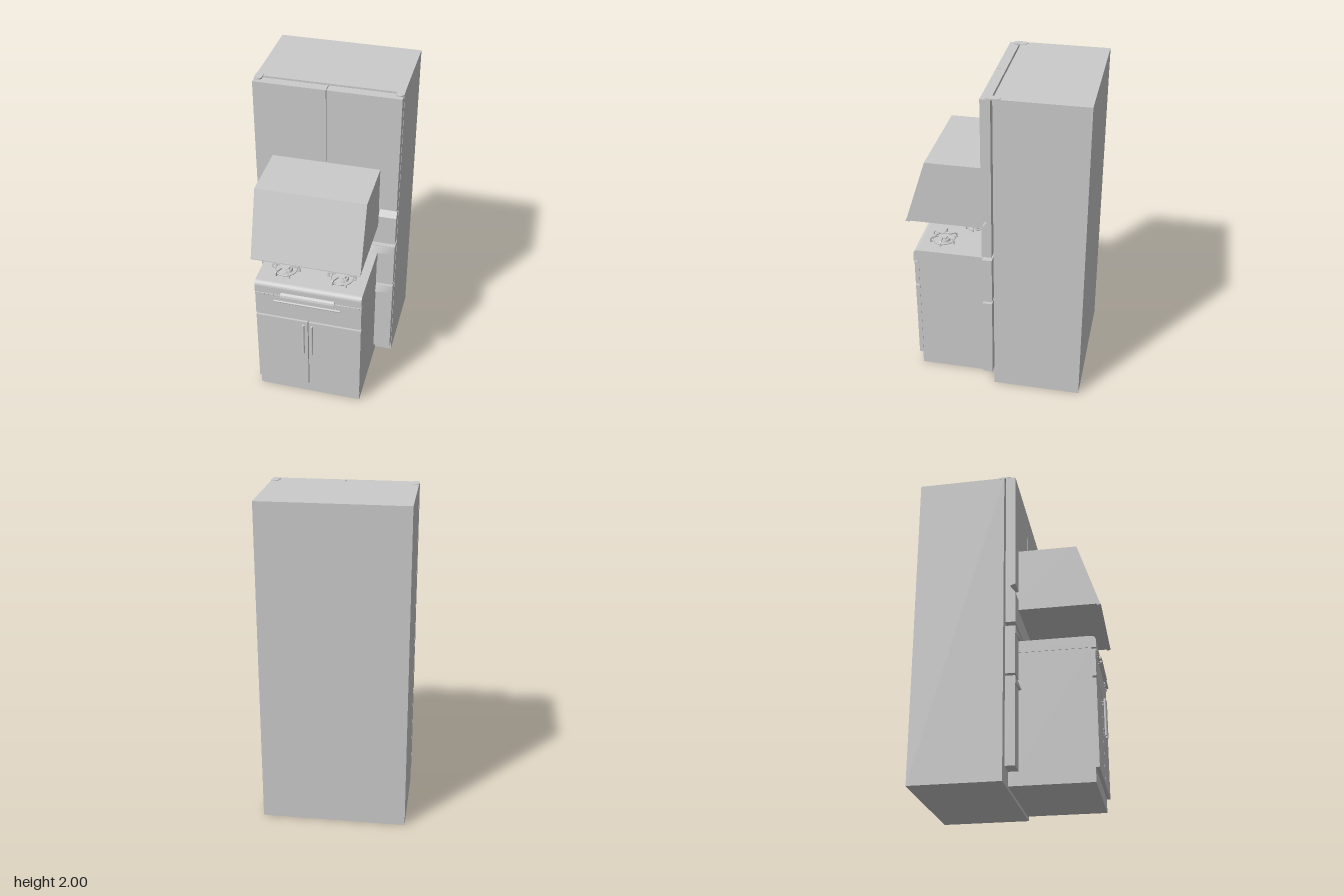
import * as THREE from 'three';

const grey = new THREE.MeshStandardMaterial({ color: 0xcccccc });

function add(parent, name, geometry, x = 0, y = 0, z = 0) {
  const mesh = new THREE.Mesh(geometry, grey);
  mesh.name = name;
  mesh.position.set(x, y, z);
  parent.add(mesh);
  return mesh;
}

// Box given by its limits on each axis
function box(parent, name, [x0, x1], [y0, y1], [z0, z1]) {
  return add(parent, name, new THREE.BoxGeometry(x1 - x0, y1 - y0, z1 - z0),
    (x0 + x1) / 2, (y0 + y1) / 2, (z0 + z1) / 2);
}

// Side profile of [z, y] points, extruded from x0 to x1
function profile(parent, name, points, x0, x1) {
  const shape = new THREE.Shape(points.map(p => new THREE.Vector2(...p)));
  const geometry = new THREE.ExtrudeGeometry(shape, { depth: x1 - x0, bevelEnabled: false });
  geometry.rotateY(-Math.PI / 2);
  return add(parent, name, geometry, x1);
}

// Sloped grip that bows out towards the middle of a drawer
function bowedGrip(parent, y0, y1) {
  const geometry = new THREE.BoxGeometry(0.88, y1 - y0, 0.03, 24, 1, 1);
  const p = geometry.attributes.position;
  for (let i = 0; i < p.count; i++) {
    const bow = 0.04 * (1 - (p.getX(i) / 0.44) ** 2);
    const front = p.getZ(i) > 0;
    p.setZ(i, !front ? 0.04 : p.getY(i) < 0 ? 0.061 + bow : 0.061);
  }
  geometry.computeVertexNormals();
  add(parent, 'drawerGrip', geometry, 0, (y0 + y1) / 2, 0);
}

function createFridge() {
  const fridge = new THREE.Group();
  fridge.name = 'fridge';
  box(fridge, 'fridgeBody', [-0.44, 0.44], [0, 2], [-0.56, -0.012]);

  // Upper doors with a V-shaped finger groove
  const door = [[0, 0.97], [0.06, 0.97], [0.06, 1.168], [0.027, 1.213],
    [0.06, 1.226], [0.06, 1.995], [0, 1.995]];
  profile(fridge, 'upperDoor', door, -0.44, -0.002);
  profile(fridge, 'upperDoor', door, 0.002, 0.44);

  // Drawers
  for (const [y0, y1] of [[0.64, 0.945], [0.085, 0.625]]) {
    box(fridge, 'drawerFront', [-0.44, 0.44], [y0, y1], [0, 0.06]);
    bowedGrip(fridge, y1 - 0.05, y1 - 0.003);
  }

  // Rounded hinge covers on the top corners
  const cover = new THREE.Shape();
  cover.absarc(0, 0.022, 0.023, 0, Math.PI);
  cover.absarc(0, -0.022, 0.023, Math.PI, Math.PI * 2);
  const coverGeometry = new THREE.ExtrudeGeometry(cover, { depth: 0.01, bevelEnabled: false });
  coverGeometry.rotateX(-Math.PI / 2);
  for (const s of [-1, 1]) add(fridge, 'hingeCover', coverGeometry, s * 0.419, 1.993, -0.01);
  return fridge;
}

function createBurner(radius) {
  const burner = new THREE.Group();
  burner.name = 'burner';
  const ring = new THREE.TorusGeometry(radius * 0.75, 0.005, 8, 32).rotateX(Math.PI / 2);
  add(burner, 'panRing', ring, 0, 0.006);
  add(burner, 'burnerBase', new THREE.CylinderGeometry(radius * 0.42, radius * 0.48, 0.014, 24), 0, 0.007);
  add(burner, 'burnerCap', new THREE.CylinderGeometry(radius * 0.26, radius * 0.3, 0.01, 24), 0, 0.018);

  // Bent support prongs
  const prong = new THREE.Shape([[0.72, 0], [1, 0], [1, 0.024], [0.88, 0.036], [0.4, 0.036],
    [0.4, 0.027], [0.82, 0.027], [0.9, 0.018], [0.9, 0.007], [0.72, 0.007]]
    .map(([r, y]) => new THREE.Vector2(r * radius, y)));
  const prongGeometry = new THREE.ExtrudeGeometry(prong, { depth: 0.007, bevelEnabled: false });
  prongGeometry.translate(0, 0, -0.0035);
  for (let i = 0; i < 6; i++) {
    add(burner, 'prong', prongGeometry).rotation.y = (i * Math.PI) / 3;
  }
  return burner;
}

// Round bar on two short posts
function createBarHandle(length, radius) {
  const handle = new THREE.Group();
  handle.name = 'barHandle';
  add(handle, 'bar', new THREE.CylinderGeometry(radius, radius, length, 16));
  const post = new THREE.CylinderGeometry(0.003, 0.003, 0.022, 8).rotateX(Math.PI / 2);
  for (const s of [-1, 1]) add(handle, 'post', post, 0, s * length * 0.42, -0.011);
  return handle;
}

function createStove() {
  const stove = new THREE.Group();
  stove.name = 'stove';
  box(stove, 'cabinet', [-0.33, 0.33], [0, 0.82], [0, 0.495]);

  // Worktop with a rounded front edge
  const top = [[0, 0.815], [0.522, 0.815], [0.522, 0.862]];
  for (let i = 1; i <= 6; i++) {
    const a = (i / 6) * Math.PI / 2;
    top.push([0.494 + 0.028 * Math.cos(a), 0.862 + 0.028 * Math.sin(a)]);
  }
  top.push([0, 0.89]);
  profile(stove, 'worktop', top, -0.333, 0.333);

  // Front panels
  box(stove, 'ovenFront', [-0.333, 0.333], [0.635, 0.805], [0.49, 0.517]);
  for (const s of [-1, 1]) {
    const [a, b] = [s * 0.003, s * 0.333].sort((m, n) => m - n);
    box(stove, 'cabinetDoor', [a, b], [0.085, 0.622], [0.49, 0.517]);
    const handle = createBarHandle(0.235, 0.008);
    handle.position.set(s * 0.027, 0.492, 0.536);
    stove.add(handle);
    for (let i = 0; i < 5; i++) {
      const x = s * (0.2 + i * 0.028);
      box(stove, 'button', [x - 0.011, x + 0.011], [0.797, 0.81], [0.51, 0.524]);
    }
  }
  const ovenHandle = createBarHandle(0.42, 0.007);
  ovenHandle.rotation.z = Math.PI / 2;
  ovenHandle.position.set(0, 0.775, 0.536);
  stove.add(ovenHandle);
  profile(stove, 'frontLip', [[0.515, 0.813], [0.54, 0.813], [0.536, 0.826], [0.515, 0.838]], -0.168, 0.168);

  // Two large burners in front, a small one behind
  for (const [x, z, r] of [[-0.177, 0.365, 0.09], [0.177, 0.365, 0.09], [0, 0.203, 0.063]]) {
    const burner = createBurner(r);
    burner.position.set(x, 0.89, z);
    stove.add(burner);
  }
  return stove;
}

function createFaucet() {
  const faucet = new THREE.Group();
  faucet.name = 'faucet';
  // Arched spout set diagonally over the worktop
  const start = new THREE.Vector3(0.182, 0.885, 0.083);
  const end = new THREE.Vector3(0.028, 0.972, 0.192);
  const path = new THREE.CurvePath();
  const points = [start];
  for (let i = 0; i <= 14; i++) {
    const a = (i / 14) * Math.PI;
    const t = (1 - Math.cos(a)) / 2;
    points.push(new THREE.Vector3(
      THREE.MathUtils.lerp(start.x, end.x, t),
      0.985 + 0.063 * Math.sin(a),
      THREE.MathUtils.lerp(start.z, end.z, t)));
  }
  points.push(end);
  for (let i = 1; i < points.length; i++) path.add(new THREE.LineCurve3(points[i - 1], points[i]));
  const curve = new THREE.CatmullRomCurve3(points);
  add(faucet, 'spout', new THREE.TubeGeometry(curve, 60, 0.01, 12));
  const cap = new THREE.CylinderGeometry(0.01, 0.01, 0.004, 12);
  add(faucet, 'spoutMouth', cap, end.x, end.y, end.z);
  add(faucet, 'faucetBase', new THREE.CylinderGeometry(0.014, 0.016, 0.02, 20), start.x, 0.9, start.z);
  return faucet;
}

export function createModel() {
  const model = new THREE.Group();
  model.name = 'kitchenUnit';
  model.add(createFridge(), createStove(), createFaucet());

  // Extractor hood with a sloped front
  profile(model, 'hood', [[0, 1.1], [0.556, 1.1], [0.424, 1.51], [0, 1.51]], -0.333, 0.33);
  box(model, 'hoodRim', [-0.333, 0.33], [1.094, 1.1], [0.535, 0.56]);
  return model;
}
